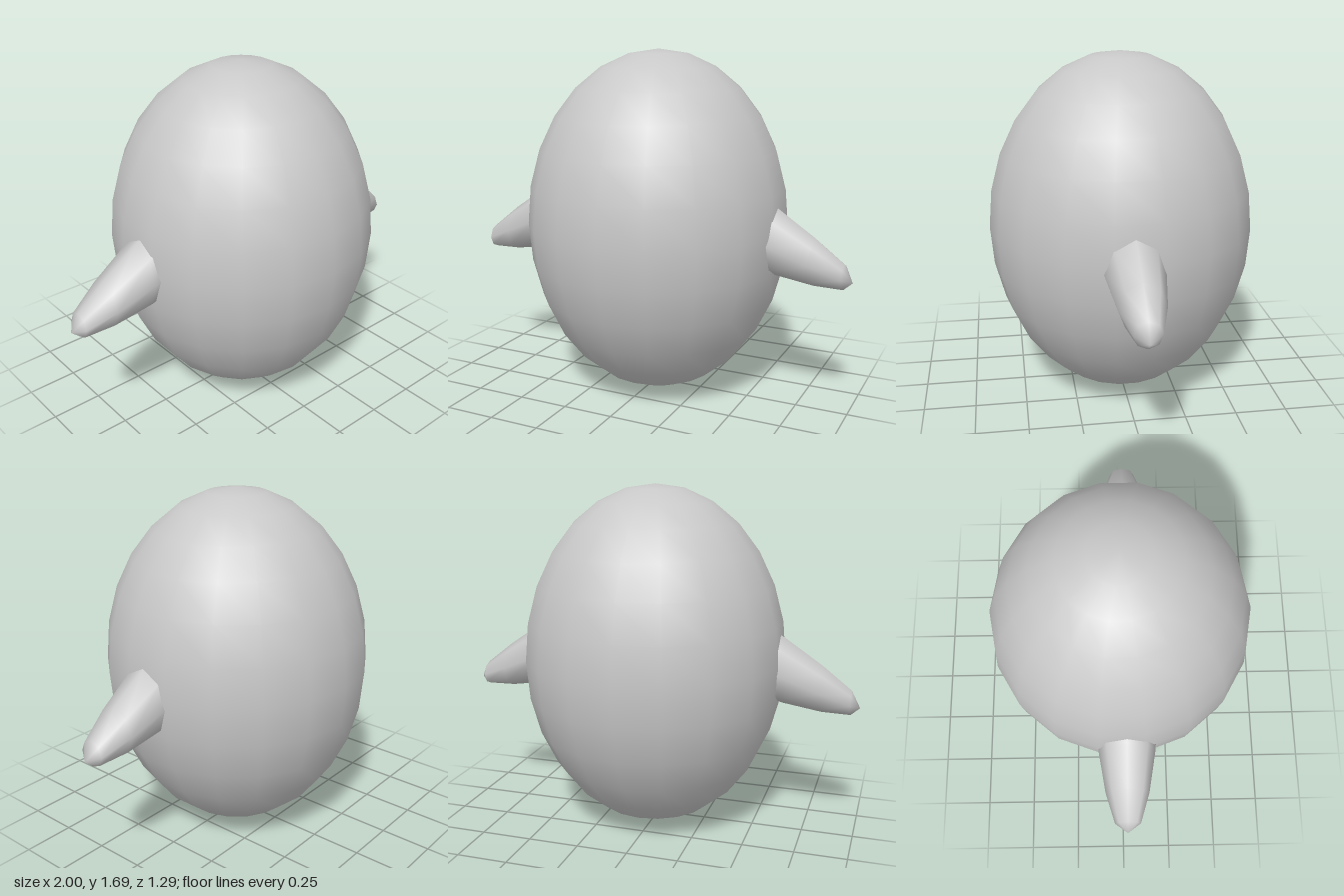
import * as THREE from 'three';

// Cross-sections of a fin, from inside the body to the tip: x, centre y, half height, half depth
const FIN_RINGS = [
  [0.5, 0.86, 0.18, 0.145],
  [0.63, 0.81, 0.163, 0.137],
  [0.818, 0.732, 0.114, 0.106],
  [0.957, 0.676, 0.061, 0.063],
];
const FIN_TIP = [1, 0.653, 0];
const SIDES = 8;

// Eight-sided tapering fin that points along +x
function finGeometry() {
  const positions = [];
  const index = [];
  for (const [x, y, ry, rz] of FIN_RINGS) {
    for (let j = 0; j < SIDES; j++) {
      const a = (j / SIDES) * Math.PI * 2;
      positions.push(x, y + Math.cos(a) * ry, Math.sin(a) * rz);
    }
  }
  const tip = positions.length / 3;
  positions.push(...FIN_TIP);
  const last = FIN_RINGS.length - 1;
  for (let i = 0; i <= last; i++) {
    for (let j = 0; j < SIDES; j++) {
      const a = i * SIDES + j;
      const b = i * SIDES + ((j + 1) % SIDES);
      if (i === last) index.push(a, b, tip);
      else index.push(a, b, a + SIDES, b, b + SIDES, a + SIDES);
    }
  }
  const geometry = new THREE.BufferGeometry();
  geometry.setAttribute('position', new THREE.Float32BufferAttribute(positions, 3));
  geometry.setIndex(index);
  geometry.computeVertexNormals();
  return geometry;
}

export function createModel() {
  const model = new THREE.Group();
  const grey = new THREE.MeshStandardMaterial({ color: 0xc8c8c8 });
  grey.name = 'grey';

  // Egg-shaped body, with a column of vertices at front and back
  const bodyGeometry = new THREE.SphereGeometry(1, 18, 14);
  bodyGeometry.rotateY(Math.PI / 2);
  bodyGeometry.scale(0.645, 0.845, 0.645);
  const body = new THREE.Mesh(bodyGeometry, grey);
  body.name = 'body';
  body.position.set(0.012, 0.845, -0.003);
  model.add(body);

  // A fin on each side, drooping outwards
  const geometry = finGeometry();
  for (const side of [1, -1]) {
    const fin = new THREE.Mesh(geometry, grey);
    fin.name = side > 0 ? 'leftFin' : 'rightFin';
    fin.rotation.y = side > 0 ? 0 : Math.PI;
    fin.position.z = 0.02;
    model.add(fin);
  }
  return model;
}
